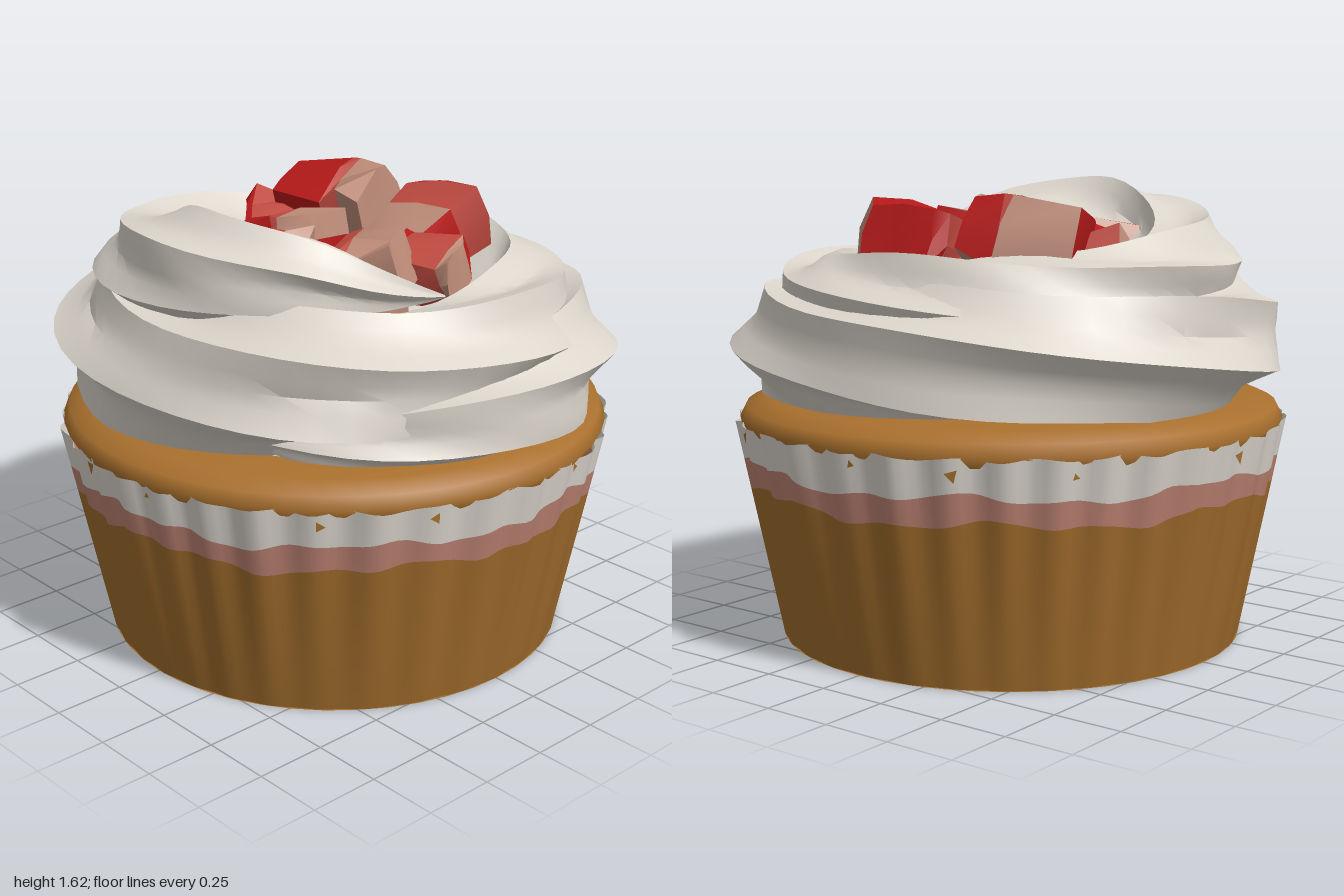
import * as THREE from 'three';
import { toCreasedNormals } from 'three/addons/utils/BufferGeometryUtils.js';
import { ParametricGeometry } from 'three/addons/geometries/ParametricGeometry.js';

const TAU = Math.PI * 2;

function material(name, color, side = THREE.FrontSide) {
  const m = new THREE.MeshStandardMaterial({ color, side });
  m.name = name;
  return m;
}

export function createModel() {
  const model = new THREE.Group();
  const mats = {
    brown: material('wrapper brown', 0xa06c2c, THREE.DoubleSide),
    pink: material('wrapper pink', 0xbc8272, THREE.DoubleSide),
    white: material('wrapper white', 0xdcd6ce, THREE.DoubleSide),
    cake: material('sponge', 0xa9702e),
    cream: material('frosting', 0xdbd5cb, THREE.DoubleSide),
    red: material('berry skin', 0xb81a1a),
    rose: material('berry flesh', 0xbf4a40),
    beige: material('berry core', 0xbd8b78),
  };
  const add = (name, geometry, mat, parent = model) => {
    const mesh = new THREE.Mesh(geometry, mat);
    mesh.name = name;
    parent.add(mesh);
    return mesh;
  };

  // Pleated paper cup: pleats deepen towards the rim
  const cupPoint = (a, y, target) => {
    const h = y / 0.8;
    const pleat = 0.012 * Math.sin(34 * a + 1.2 * Math.sin(3 * a)) + 0.006 * Math.sin(13 * a + 1);
    const r = 0.825 + 0.15 * h + pleat * (0.2 + 0.8 * h);
    return target.set(r * Math.sin(a), y, r * Math.cos(a));
  };
  const wave = (a, p) => 0.014 * Math.sin(7 * a + p) + 0.01 * Math.sin(17 * a + 2 * p);
  const edges = [
    () => 0.012,
    a => 0.575 + wave(a, 0.5),
    a => 0.665 + wave(a, 1.3),
    a => 0.797 + 0.007 * Math.sin(23 * a),
  ];
  ['brown', 'pink', 'white'].forEach((key, i) => {
    const band = new ParametricGeometry((u, v, t) => {
      const a = u * TAU;
      cupPoint(a, THREE.MathUtils.lerp(edges[i](a), edges[i + 1](a), v), t);
    }, 204, i === 0 ? 6 : 2);
    add(`${key}WrapperBand`, band, mats[key]);
  });
  const base = add('wrapperBase', new THREE.CircleGeometry(0.83, 48), mats.brown);
  base.rotation.x = Math.PI / 2;
  base.position.y = 0.01;

  // Small crumbs on the white band
  for (let i = 0; i < 11; i++) {
    const a = 0.78 + i * TAU / 11 + 0.2 * Math.sin(i * 5);
    const crumb = add('crumb', new THREE.CircleGeometry(0.02 + 0.008 * Math.sin(i * 3), 3, i), mats.brown);
    cupPoint(a, 0.755 + 0.015 * Math.sin(i * 7), crumb.position);
    crumb.position.x *= 1.012;
    crumb.position.z *= 1.012;
    crumb.rotation.y = a;
  }

  // Sponge rim bulging above the paper
  const cakeProfile = [[0.95, 0.76], [0.972, 0.8], [0.95, 0.845], [0.88, 0.875], [0.7, 0.9], [0, 0.92]];
  add('sponge', new THREE.LatheGeometry(cakeProfile.map(p => new THREE.Vector2(...p)), 48), mats.cake);

  // Frosting bed inside the swirl
  const bedProfile = [[0.76, 0.88], [0.72, 1.05], [0.6, 1.18], [0.45, 1.25], [0, 1.27]];
  add('frostingBed', new THREE.LatheGeometry(bedProfile.map(p => new THREE.Vector2(...p)), 40), mats.cream);

  // Piped swirl: [degrees travelled, path radius, height, rope size]
  const keys = [
    [0, 0.74, 0.94, 0.03], [25, 0.76, 0.97, 0.12], [61, 0.77, 1.02, 0.2], [151, 0.74, 1.07, 0.23],
    [241, 0.75, 1.08, 0.23], [331, 0.72, 1.1, 0.25], [421, 0.68, 1.16, 0.21], [511, 0.65, 1.2, 0.2],
    [601, 0.63, 1.26, 0.19], [661, 0.63, 1.36, 0.2], [695, 0.61, 1.42, 0.2], [728, 0.56, 1.44, 0.14],
    [755, 0.55, 1.39, 0.07], [778, 0.57, 1.34, 0.005],
  ];
  const path = new THREE.CubicInterpolant(keys.map(k => k[0]), keys.flatMap(k => k.slice(1)), 3, new Float32Array(3));
  const swirl = new ParametricGeometry((u, v, t) => {
    const deg = u * 778;
    const [r, y, size] = path.evaluate(deg);
    const s = deg * Math.PI / 180;
    const a = v * TAU;
    // Six sharp star ridges that roll slowly along the rope
    const star = 1.04 - 0.25 * Math.abs(Math.sin(3 * a)) + 0.05 * Math.sin(s * 5 + 6 * Math.sin(a));
    const roll = a - 0.55 * s;
    const out = r + size * star * Math.cos(roll);
    const heading = 61 * Math.PI / 180 - s;
    t.set(out * Math.cos(heading), y + size * star * Math.sin(roll), out * Math.sin(heading));
  }, 110, 24);
  add('frostingSwirl', toCreasedNormals(swirl, 0.6), mats.cream);

  // Cut berry chunk: skin, flesh and core follow each other along local x
  const berryMats = [mats.red, mats.rose, mats.beige];
  function chunkGeometry(l, h, w, cutA, cutB, seed) {
    const geo = new THREE.BoxGeometry(1, 1, 1, 3, 2, 2);
    const pos = geo.attributes.position;
    const columns = [-0.5, cutA, cutB, 0.5];
    for (let i = 0; i < pos.count; i++) {
      const c = Math.round((pos.getX(i) + 0.5) * 3);
      const x = columns[c], y = pos.getY(i), z = pos.getZ(i);
      const taper = (1 - 0.3 * (x + 0.5)) * (c === 0 ? 0.8 : 1);
      const bulge = 1 + 0.14 * (Number(y === 0) + Number(z === 0));
      const n = 0.06 * Math.sin(seed * 7 + c * 3 + y * 11 + z * 17);
      pos.setXYZ(i, (x + n * 0.6) * l, (y * taper * bulge + n) * h, (z * taper * bulge - n) * w);
    }
    const out = toCreasedNormals(geo, 0.5);
    out.clearGroups();
    // Box faces come in the order +x, -x, +y, -y, +z, -z
    const quads = [[2, 4], [0, 4], ...Array.from({ length: 24 }, (_, q) => [q % 3, 1])];
    let start = 0;
    for (const [slot, count] of quads) {
      out.addGroup(start, count * 6, slot);
      start += count * 6;
    }
    return out;
  }

  // [x, y, z, length, height, width, yaw, tilt, roll, first cut, second cut]
  const chunks = [
    [-0.29, 1.43, -0.28, 0.38, 0.3, 0.32, 0.35, 0.15, 0.35, 0.12, 0.2],
    [0.13, 1.39, -0.3, 0.44, 0.24, 0.32, -1.45, -0.3, 0.1, -0.4, -0.08],
    [-0.43, 1.36, -0.1, 0.2, 0.2, 0.22, 0.8, 0.1, 0.4, -0.35, 0.42],
    [-0.16, 1.37, 0.07, 0.32, 0.24, 0.36, 0.35, 0.3, -0.2, 0.05, 0.16],
    [-0.09, 1.38, 0.29, 0.42, 0.2, 0.15, 0.85, 0.1, 0.4, -0.1, 0.25],
    [0.25, 1.37, 0.14, 0.38, 0.24, 0.3, 0.5, 0.35, 0.2, -0.05, 0.1],
    [0.36, 1.36, -0.1, 0.25, 0.2, 0.24, 0.3, 0.1, 0.3, -0.3, 0.4],
    [0.15, 1.34, 0.39, 0.24, 0.14, 0.14, -0.7, 0.3, 0.2, -0.2, 0.05],
    [-0.38, 1.3, 0.15, 0.26, 0.16, 0.36, 0.2, 0, 0, 0.3, 0.42],
    [0.12, 1.29, 0.3, 0.44, 0.16, 0.26, 0.1, 0, 0, 0.25, 0.42],
    [0.2, 1.3, -0.06, 0.34, 0.16, 0.26, 0.6, 0.1, 0, -0.25, 0.42],
    [-0.08, 1.27, -0.1, 0.4, 0.14, 0.4, 0.9, 0, 0, 0.3, 0.44],
    [0.36, 1.29, 0.2, 0.26, 0.16, 0.26, -0.4, 0, 0, 0.2, 0.42],
  ];
  const berries = new THREE.Group();
  berries.name = 'berryTopping';
  model.add(berries);
  chunks.forEach(([x, y, z, l, h, w, yaw, tilt, roll, cutA, cutB], i) => {
    const chunk = add('berryChunk', chunkGeometry(l, h, w, cutA, cutB, i), berryMats, berries);
    chunk.position.set(x, y, z);
    chunk.rotation.set(roll, yaw, tilt, 'YXZ');
  });
  return model;
}
